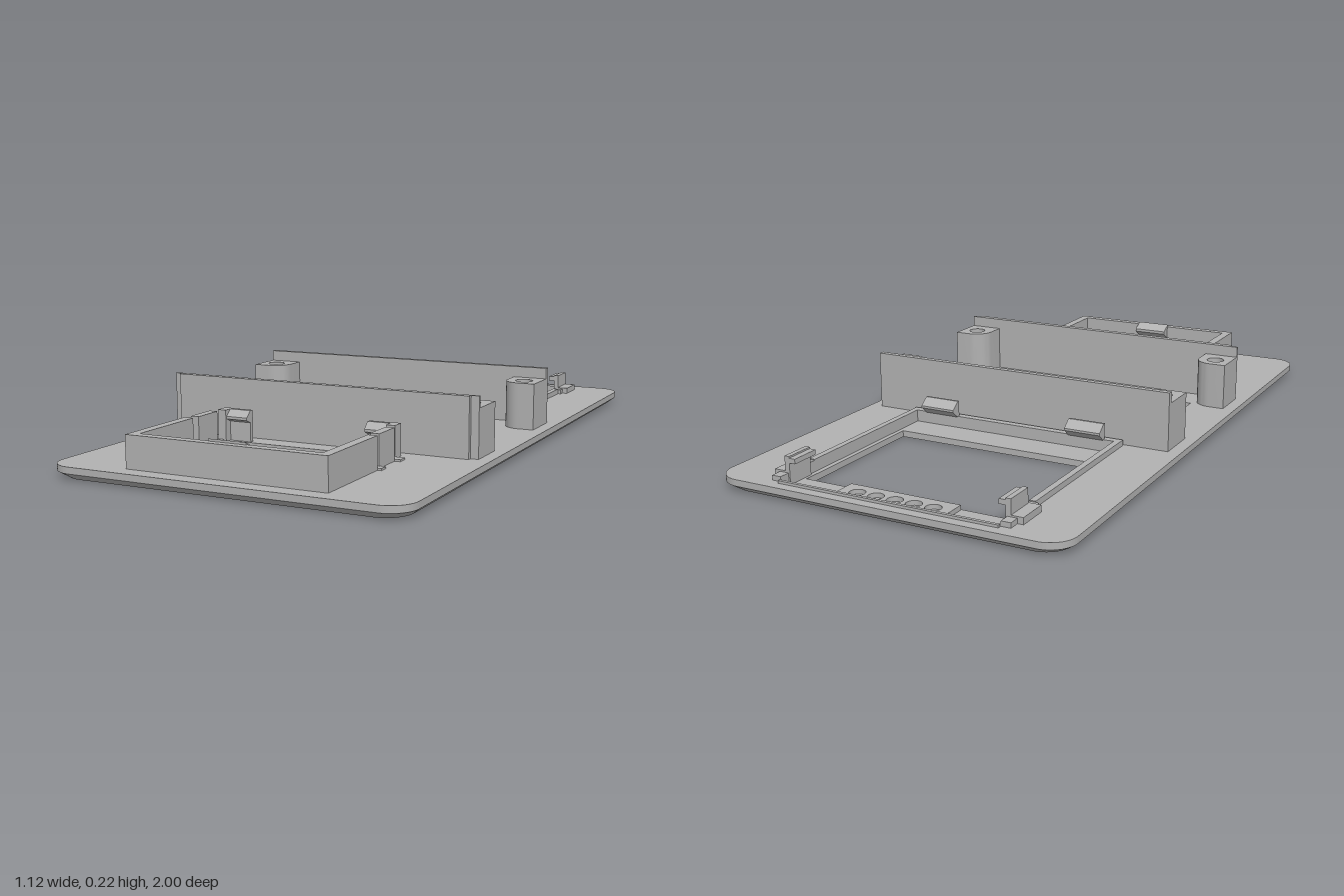
import * as THREE from 'three';
import { toCreasedNormals } from 'three/addons/utils/BufferGeometryUtils.js';

const TOP = 0.04; // upper face of the base plate

export function createModel() {
  const model = new THREE.Group();
  model.name = 'mountingPlate';
  const grey = new THREE.MeshStandardMaterial({ color: 0xb2b2b2 });
  grey.name = 'grey plastic';

  function add(name, geometry) {
    const mesh = new THREE.Mesh(geometry, grey);
    mesh.name = name;
    model.add(mesh);
    return mesh;
  }
  function box(name, x0, x1, y0, y1, z0, z1) {
    const g = new THREE.BoxGeometry(x1 - x0, y1 - y0, z1 - z0);
    return add(name, g.translate((x0 + x1) / 2, (y0 + y1) / 2, (z0 + z1) / 2));
  }
  // Plan outlines use (x, -z), so the extrusion can be laid flat
  function outline(points) {
    return new THREE.Shape(points.map(([x, z]) => new THREE.Vector2(x, -z)));
  }
  const rect = (x0, x1, z0, z1) => outline([[x0, z0], [x0, z1], [x1, z1], [x1, z0]]);
  function circle(x, z, r) {
    return new THREE.Path().absarc(x, -z, r, 0, Math.PI * 2);
  }
  function slab(shape, y0, y1, holes = []) {
    shape.holes.push(...holes);
    const g = new THREE.ExtrudeGeometry(shape, { depth: y1 - y0, bevelEnabled: false, curveSegments: 12 });
    return g.rotateX(-Math.PI / 2).translate(0, y0, 0);
  }
  // Bar along x with a (z, y) cross-section
  function bar(name, points, x0, x1) {
    const shape = new THREE.Shape(points.map(([z, y]) => new THREE.Vector2(z, y)));
    const g = new THREE.ExtrudeGeometry(shape, { depth: x1 - x0, bevelEnabled: false });
    return add(name, g.rotateY(-Math.PI / 2).translate(x1, 0, 0));
  }
  function plateShape() {
    const w = 0.56, h = 1, r = 0.08, s = new THREE.Shape();
    s.absarc(w - r, h - r, r, 0, Math.PI / 2);
    s.absarc(-w + r, h - r, r, Math.PI / 2, Math.PI);
    s.absarc(-w + r, -h + r, r, Math.PI, Math.PI * 1.5);
    s.absarc(w - r, -h + r, r, Math.PI * 1.5, Math.PI * 2);
    return s;
  }

  // Base plate: chamfered lower layer, upper layer with shallow recesses
  const middleWindow = () => rect(-0.4, 0.36, -0.08, 0.29);
  const lower = slab(plateShape(), 0, 0.02, [middleWindow(), rect(-0.345, 0.34, -0.86, -0.36)]);
  const p = lower.attributes.position;
  for (let i = 0; i < p.count; i++) {
    const x = p.getX(i), z = p.getZ(i);
    if (p.getY(i) < 0.01 && (Math.abs(x) > 0.45 || Math.abs(z) > 0.9)) {
      p.setX(i, x * 0.955);
      p.setZ(i, z * 0.975);
    }
  }
  add('basePlateLower', toCreasedNormals(lower, 0.5));
  const upper = slab(plateShape(), 0.02, TOP,
    [middleWindow(), rect(-0.355, 0.355, -0.965, -0.25), rect(-0.24, 0.24, 0.49, 0.92)]);
  add('basePlateUpper', toCreasedNormals(upper, 0.5));

  // Cross walls either side of the middle window
  box('rearCrossWall', -0.52, 0.52, TOP, 0.225, -0.217, -0.198);
  box('frontCrossWall', -0.52, 0.52, TOP, 0.225, 0.402, 0.41);
  box('frontCrossWallFace', -0.495, 0.495, TOP, 0.225, 0.41, 0.424);

  // Screw posts, rounded at the corner facing the window
  for (const side of [-1, 1]) {
    for (const [zWall, dir] of [[-0.198, 1], [0.402, -1]]) {
      const cx = 0.467, r = 0.058, cz = zWall + dir * 0.065;
      const pts = [[cx - r, zWall], [0.52, zWall], [0.52, cz + dir * r]];
      for (let i = 0; i <= 10; i++) {
        const a = Math.PI / 2 * (1 + i / 10);
        pts.push([cx + r * Math.cos(a), cz + dir * r * Math.sin(a)]);
      }
      const shape = outline(pts.map(([x, z]) => [x * side, z]));
      add('screwPost', toCreasedNormals(slab(shape, TOP, 0.19, [circle(cx * side, cz, 0.028)]), 0.5));
    }
  }

  // Front pocket: U-shaped wall with a snap catch
  add('pocketWall', slab(outline([
    [-0.318, 0.66], [-0.318, 0.948], [0.318, 0.948], [0.318, 0.66],
    [0.288, 0.66], [0.288, 0.92], [-0.288, 0.92], [-0.288, 0.66],
  ]), TOP, 0.138));
  bar('pocketCatch', [[0.925, 0.145], [0.925, 0.09], [0.885, 0.115], [0.885, 0.125]], -0.06, 0.06);

  // Rim around the rear window
  box('rimFront', -0.375, 0.375, TOP, 0.058, -0.25, -0.225);

  for (const s of [-1, 1]) {
    const mirrored = (name, x0, x1, ...rest) =>
      box(name, Math.min(s * x0, s * x1), Math.max(s * x0, s * x1), ...rest);
    const barAt = (name, pts, x0, x1) =>
      bar(name, pts, Math.min(s * x0, s * x1), Math.max(s * x0, s * x1));

    // Flexible clips at the open end of the pocket
    mirrored('pocketSideClip', 0.285, 0.312, TOP, 0.138, 0.535, 0.636);
    mirrored('clipFoot', 0.28, 0.33, TOP, 0.046, 0.503, 0.535);
    mirrored('clipFoot', 0.28, 0.33, TOP, 0.046, 0.63, 0.66);
    mirrored('pocketEndPost', 0.272, 0.3, TOP, 0.138, 0.465, 0.508);
    mirrored('pocketEndClip', 0.2, 0.28, TOP, 0.138, 0.468, 0.482);
    barAt('pocketEndHook', [[0.482, 0.138], [0.503, 0.118], [0.503, 0.11], [0.482, 0.1]], 0.2, 0.275);

    // Rear window rim and latches
    mirrored('rimSide', 0.355, 0.375, TOP, 0.058, -0.8, -0.25);
    mirrored('latchFoot', 0.365, 0.403, TOP, 0.06, -0.92, -0.82);
    mirrored('latchFootEnd', 0.355, 0.385, TOP, 0.055, -0.82, -0.8);
    mirrored('latchFootEnd', 0.355, 0.385, TOP, 0.055, -0.955, -0.92);
    mirrored('latchBlade', 0.35, 0.366, 0.02, 0.105, -0.92, -0.825);
    mirrored('latchLip', 0.33, 0.35, 0.085, 0.1, -0.92, -0.825);
    barAt('windowCatch', [[-0.24, 0.055], [-0.24, 0.108], [-0.248, 0.108], [-0.278, 0.085],
      [-0.278, 0.078], [-0.25, 0.055]], 0.2, 0.32);
  }
  box('rimRear', -0.355, 0.355, TOP, 0.048, -0.968, -0.958);

  // Perforated strip behind the rear window
  const holes = [-2, -1, 0, 1, 2].map((i) => circle(i * 0.062, -0.912, 0.024));
  add('perforatedStrip', toCreasedNormals(slab(rect(-0.18, 0.18, -0.96, -0.862), 0.02, 0.034, holes), 0.5));

  return model;
}
